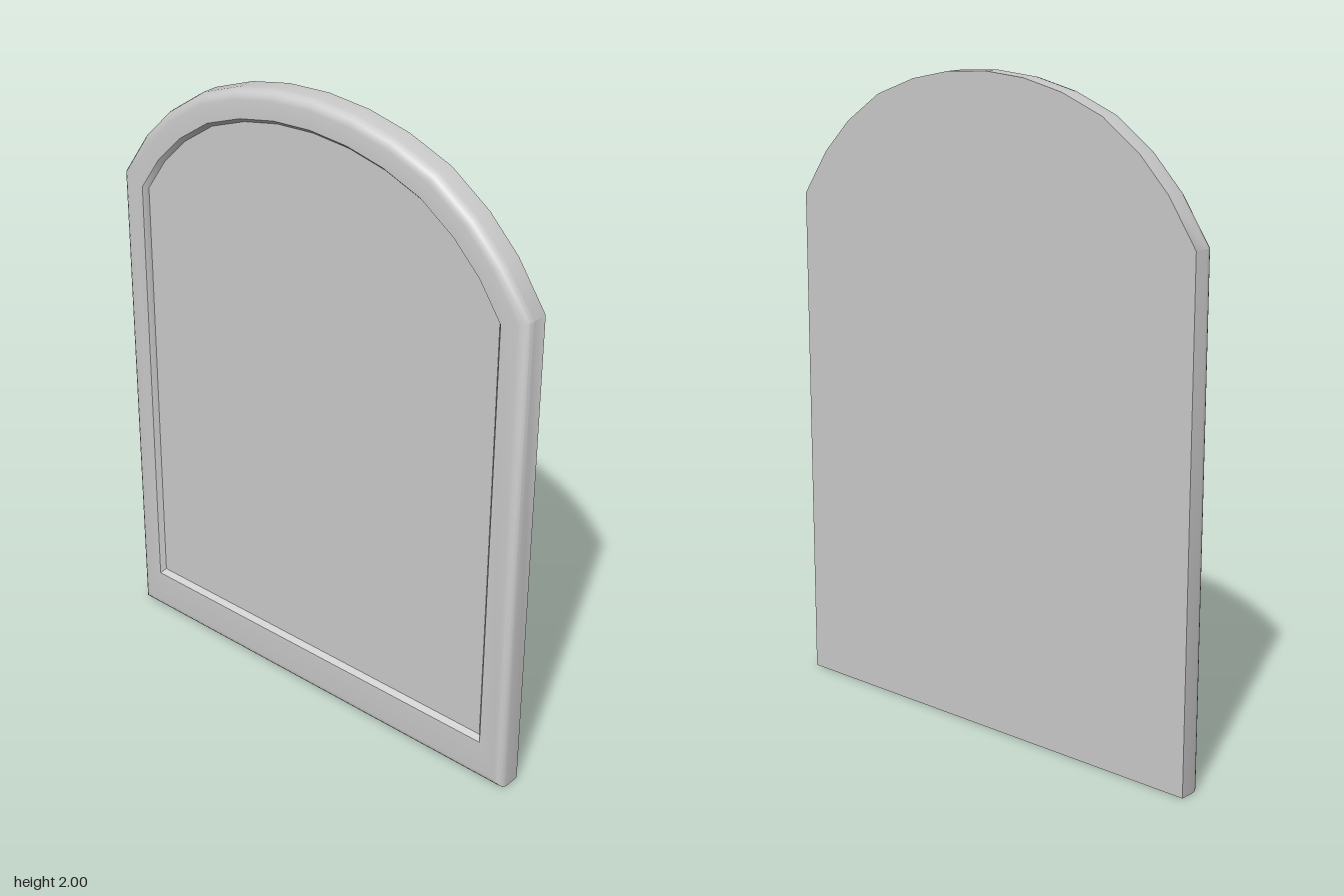
import * as THREE from 'three';
import { toCreasedNormals } from 'three/addons/utils/BufferGeometryUtils.js';

const HALF = 0.755;
const BACK = -0.041, FRONT = 0.041;

// Counter-clockwise outline: square base, arched top (right half mirrored).
const archHalf = [[HALF, 1.575], [0.66, 1.714], [0.56, 1.815], [0.43, 1.905], [0.285, 1.96], [0.145, 1.99]];
const outline = [
  [-HALF, 0], [HALF, 0],
  ...archHalf,
  [0, 2],
  ...archHalf.map(([u, y]) => [-u, y]).reverse(),
].map(([u, y]) => new THREE.Vector2(u, y));

// Shrinks the outline with mitred corners; the bottom edge may move further.
function insetLoop(d, bottomExtra = 0) {
  const n = outline.length;
  const edges = outline.map((p, i) => {
    const dir = outline[(i + 1) % n].clone().sub(p).normalize();
    const normal = new THREE.Vector2(-dir.y, dir.x);
    const amount = d + (i === 0 ? bottomExtra : 0);
    return { dir, start: p.clone().addScaledVector(normal, amount) };
  });
  return edges.map((e, i) => {
    const prev = edges[(i + n - 1) % n];
    const t = e.start.clone().sub(prev.start).cross(e.dir) / prev.dir.cross(e.dir);
    return prev.start.clone().addScaledVector(prev.dir, t);
  });
}

// Joins successive loops { points, z } into a band of faces.
function loft(loops) {
  const pos = [];
  const put = (loop, i) => pos.push(loop.points[i].x, loop.points[i].y, loop.z);
  for (let k = 0; k < loops.length - 1; k++) {
    const [lo, hi] = [loops[k], loops[k + 1]];
    for (let i = 0; i < outline.length; i++) {
      const j = (i + 1) % outline.length;
      put(lo, i); put(lo, j); put(hi, j);
      put(lo, i); put(hi, j); put(hi, i);
    }
  }
  const geo = new THREE.BufferGeometry();
  geo.setAttribute('position', new THREE.Float32BufferAttribute(pos, 3));
  return toCreasedNormals(geo, 0.6);
}

export function createModel() {
  const model = new THREE.Group();
  model.name = 'archedPanel';
  const material = new THREE.MeshStandardMaterial({ color: 0xcccccc });
  const body = new THREE.Group();
  body.name = 'panelBody';
  body.rotation.y = -Math.PI / 2; // framed face looks towards -x
  model.add(body);

  const add = (name, geometry) => {
    const mesh = new THREE.Mesh(geometry, material);
    mesh.name = name;
    body.add(mesh);
    return mesh;
  };

  // Frame: straight side, rounded outer edge, flat face, bevel into the recess
  const loops = [{ points: insetLoop(0), z: BACK }];
  const r = 0.03;
  for (let s = 0; s <= 4; s++) {
    const a = (s / 4) * Math.PI / 2;
    loops.push({ points: insetLoop(r * (1 - Math.cos(a))), z: FRONT - r + r * Math.sin(a) });
  }
  loops.push({ points: insetLoop(0.085, 0.055), z: FRONT });
  const recess = { points: insetLoop(0.098, 0.057), z: FRONT - 0.015 };
  loops.push(recess);
  add('frame', loft(loops));

  // Recessed panel
  const panel = new THREE.ShapeGeometry(new THREE.Shape(recess.points));
  add('recessedPanel', panel.translate(0, 0, recess.z));

  // Plain rear face, turned outward (the outline is symmetric)
  const rear = new THREE.ShapeGeometry(new THREE.Shape(outline));
  add('rearFace', rear.rotateY(Math.PI).translate(0, 0, BACK));

  return model;
}
